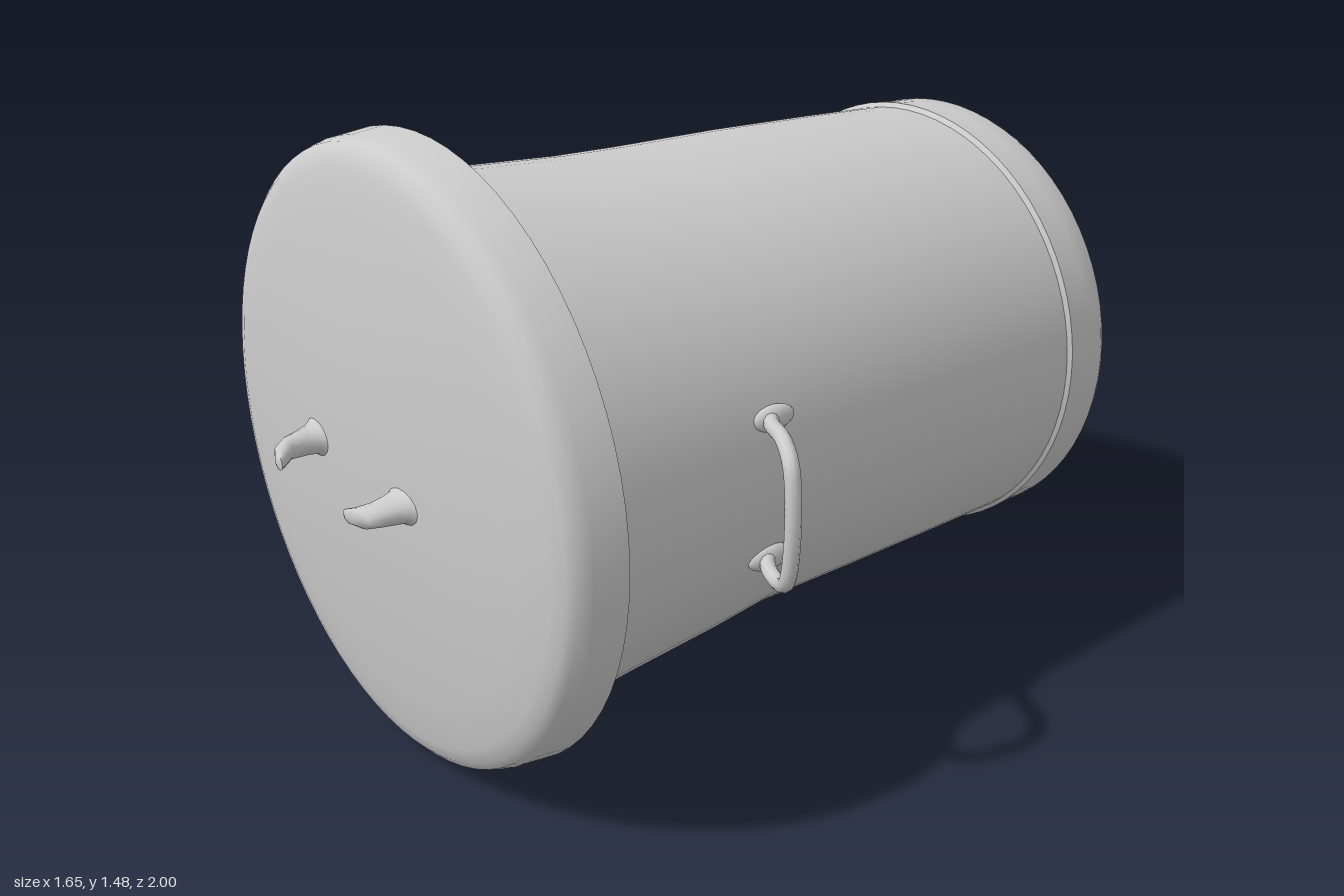
import * as THREE from 'three';
import { toCreasedNormals } from 'three/addons/utils/BufferGeometryUtils.js';

const material = new THREE.MeshStandardMaterial({ color: 0xcccccc, side: THREE.DoubleSide });

// Skin elliptical sections [z, centreX, centreY, radiusX, radiusY], listed front to back
function loft(name, sections, sides, crease = 0.7) {
  const pos = [], index = [];
  sections.forEach(([z, cx, cy, rx, ry], s) => {
    for (let i = 0; i < sides; i++) {
      const a = (i / sides) * Math.PI * 2;
      pos.push(cx + rx * Math.cos(a), cy + ry * Math.sin(a), z);
      if (s === sections.length - 1) continue;
      const p = s * sides + i, q = s * sides + (i + 1) % sides;
      index.push(p, p + sides, q, q, p + sides, q + sides);
    }
  });
  const geometry = new THREE.BufferGeometry();
  geometry.setAttribute('position', new THREE.Float32BufferAttribute(pos, 3));
  geometry.setIndex(index);
  const mesh = new THREE.Mesh(toCreasedNormals(geometry, crease), material);
  mesh.name = name;
  return mesh;
}

export function createModel() {
  const group = new THREE.Group();
  group.name = 'trashCan';

  // Tapered body, slightly pinched in the middle
  group.add(loft('body', [
    [0.74, 0.01, 0.745, 0.68, 0.645],
    [0.66, 0.01, 0.742, 0.675, 0.637],
    [0.45, 0.008, 0.742, 0.66, 0.617],
    [0.2, 0.005, 0.742, 0.642, 0.6],
    [0.02, 0.005, 0.75, 0.63, 0.587],
    [-0.3, 0.005, 0.746, 0.617, 0.588],
    [-0.6, 0.005, 0.741, 0.604, 0.584],
    [-0.87, 0.003, 0.735, 0.592, 0.579],
  ], 72));

  // Bottom band with a shallow recessed base
  group.add(loft('bottomBand', [
    [-0.84, 0.003, 0.735, 0.585, 0.575],
    [-0.855, 0.003, 0.736, 0.603, 0.591],
    [-0.93, 0.003, 0.734, 0.596, 0.587],
    [-0.985, 0.003, 0.733, 0.591, 0.587],
    [-1, 0.003, 0.733, 0.583, 0.58],
    [-1, 0.003, 0.733, 0.555, 0.55],
    [-0.985, 0.003, 0.733, 0.54, 0.535],
    [-0.985, 0.003, 0.733, 0, 0],
  ], 72));

  // Domed lid with rolled skirt, open behind the lip: [z, radius]
  const lid = [[0.863, 0], [0.858, 0.2], [0.842, 0.42], [0.822, 0.58], [0.808, 0.67], [0.797, 0.705],
    [0.78, 0.725], [0.75, 0.735], [0.67, 0.744], [0.665, 0.735], [0.675, 0.715], [0.72, 0.7], [0.73, 0.64]];
  group.add(loft('lid', lid.map(([z, r]) => [z, 0.008, 0.746, r, r * 0.992]), 72));

  // Broken stubs of the lid handle
  group.add(loft('rightHandleStub', [
    [0.995, -0.115, 0.755, 0, 0],
    [0.99, -0.115, 0.758, 0.018, 0.018],
    [0.975, -0.135, 0.762, 0.03, 0.024],
    [0.945, -0.16, 0.765, 0.028, 0.026],
    [0.9, -0.175, 0.762, 0.036, 0.03],
    [0.87, -0.185, 0.76, 0.046, 0.034],
    [0.835, -0.185, 0.76, 0.075, 0.06],
  ], 14, 1.2));
  group.add(loft('leftHandleStub', [
    [0.97, 0.145, 0.722, 0, 0],
    [0.965, 0.15, 0.722, 0.02, 0.016],
    [0.95, 0.18, 0.724, 0.036, 0.022],
    [0.92, 0.19, 0.726, 0.036, 0.026],
    [0.89, 0.193, 0.728, 0.042, 0.03],
    [0.865, 0.193, 0.73, 0.05, 0.034],
    [0.835, 0.193, 0.73, 0.08, 0.06],
  ], 14, 1.2));

  // Side carrying handles, tilted toward the lid
  for (const side of [1, -1]) {
    const path = [[0.61, 0.9, 0.18], [0.66, 0.905, 0.22], [0.735, 0.905, 0.255], [0.785, 0.875, 0.28], [0.803, 0.81, 0.287],
      [0.803, 0.68, 0.287], [0.785, 0.605, 0.28], [0.735, 0.57, 0.255], [0.66, 0.565, 0.22], [0.61, 0.57, 0.18]]
      .map(([x, y, z]) => new THREE.Vector3(side * x, y, z));
    const handle = new THREE.Mesh(
      new THREE.TubeGeometry(new THREE.CatmullRomCurve3(path), 48, 0.018, 10), material);
    handle.name = side > 0 ? 'leftSideHandle' : 'rightSideHandle';
    group.add(handle);

    // Flared welds where the handle meets the body
    for (const y of [0.9, 0.565]) {
      const weld = new THREE.Mesh(new THREE.SphereGeometry(1, 16, 10), material);
      weld.name = 'handleWeld';
      weld.scale.set(0.022, 0.03, 0.06);
      weld.position.set(side * 0.622, y, 0.185);
      group.add(weld);
    }
  }
  return group;
}
